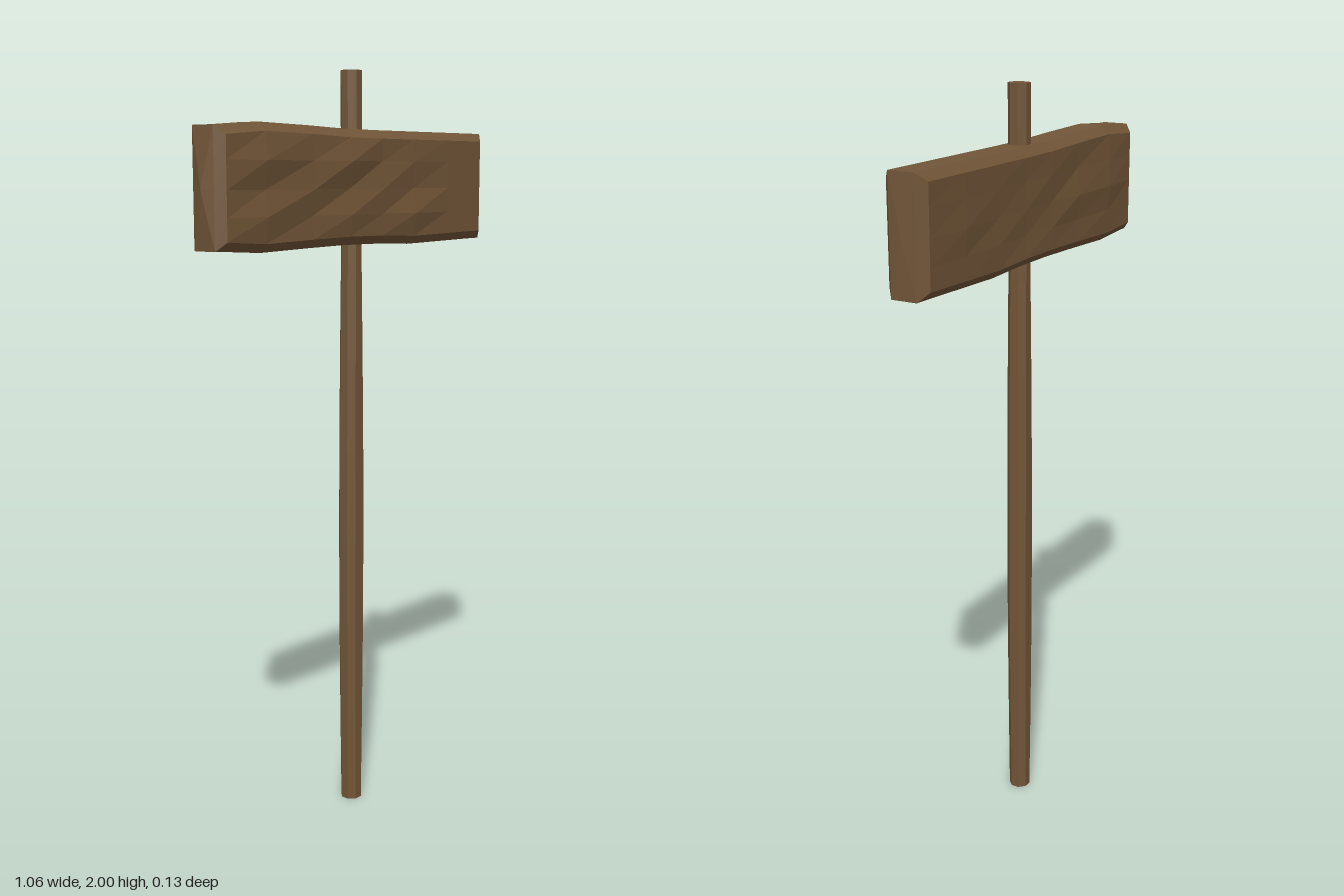
import * as THREE from 'three';

const wood = new THREE.MeshStandardMaterial({ color: 0x725638, flatShading: true, roughness: 0.9 });

// Joins equal rings of [x, y, z] points along +x and closes both ends with a fan to an apex
function loft(rings, startApex, endApex) {
  const n = rings[0].length;
  const pos = [...rings.flat(), startApex, endApex].flat();
  const start = rings.length * n, end = start + 1;
  const index = [];
  for (let j = 0; j < n; j++) {
    const k = (j + 1) % n;
    for (let i = 0; i < rings.length - 1; i++) {
      const a = i * n + j, c = i * n + k, b = a + n, d = c + n;
      index.push(a, c, b, b, c, d);
    }
    const last = (rings.length - 1) * n;
    index.push(start, k, j, end, last + j, last + k);
  }
  const g = new THREE.BufferGeometry();
  g.setAttribute('position', new THREE.Float32BufferAttribute(pos, 3));
  g.setIndex(index);
  const flat = g.toNonIndexed();
  flat.computeVertexNormals();
  return flat;
}

// Plank with chamfered faces and hand-hewn dents
function makeBoard() {
  const top = 1.85, bottom = 1.557, front = 0.03, back = -0.04, bevel = 0.022;
  const rows = [1.77, 1.7, 1.635];
  // x, top and bottom swell, then front and back relief on each row
  const stations = [
    [-0.5, 0, 0, [0, 0, 0], [0, 0, 0]],
    [-0.37, 0.01, -0.008, [0.011, -0.002, 0.009], [-0.004, -0.008, -0.002]],
    [-0.2, 0.006, -0.003, [0.002, 0.006, -0.003], [0.003, -0.005, 0.002]],
    [-0.06, 0.001, 0, [0.012, -0.004, 0.008], [-0.001, 0.003, 0]],
    [0.07, 0, -0.001, [-0.002, 0.006, 0.001], [0.002, 0, 0.003]],
    [0.2, 0, -0.006, [0.003, -0.003, 0.011], [0, 0.002, -0.001]],
    [0.35, 0, -0.003, [0, 0, 0], [-0.001, -0.004, 0]],
    [0.5, 0, 0, [0, 0, 0], [0, 0, 0]],
  ];
  const ring = (x, up, down, f, b, inset) => {
    const t = top + up, u = bottom + down, zf = front + inset, zb = back - inset;
    return [
      [x, t, front], [x, t - inset, zf],
      ...rows.map((y, i) => [x, y, zf + f[i]]),
      [x, u + inset, zf], [x, u, front],
      [x, u, back], [x, u + inset, zb],
      ...rows.map((y, i) => [x, y, zb + b[i]]).reverse(),
      [x, t - inset, zb], [x, t, back],
    ];
  };
  const flat = [0, 0, 0];
  const rings = [
    ring(-0.52, 0, 0, flat, flat, 0),
    ...stations.map((s) => ring(...s, bevel)),
    ring(0.525, 0, 0, flat, flat, 0),
  ];
  return loft(rings, [-0.535, 1.7, 0], [0.529, 1.7, -0.005]);
}

// Eight-sided pole, slightly swollen on its lower half
function makePole() {
  const g = new THREE.CylinderGeometry(0.029, 0.029, 2, 8, 8);
  g.rotateY(Math.PI / 8);
  g.translate(0.007, 1, -0.004);
  const p = g.attributes.position;
  for (let i = 0; i < p.count; i++) {
    const x = p.getX(i), y = p.getY(i), z = p.getZ(i);
    const swell = y < 1.5 ? Math.sin((Math.PI * y) / 1.5) : 0;
    p.setX(i, x + swell * (x > 0.007 ? 0.008 : -0.004));
    p.setZ(i, z + swell * (z < -0.004 ? -0.004 : 0.001));
  }
  g.computeVertexNormals();
  return g;
}

export function createModel() {
  const group = new THREE.Group();
  group.name = 'woodenSign';
  for (const [name, geometry] of [['pole', makePole()], ['signBoard', makeBoard()]]) {
    const mesh = new THREE.Mesh(geometry, wood);
    mesh.name = name;
    group.add(mesh);
  }
  return group;
}
